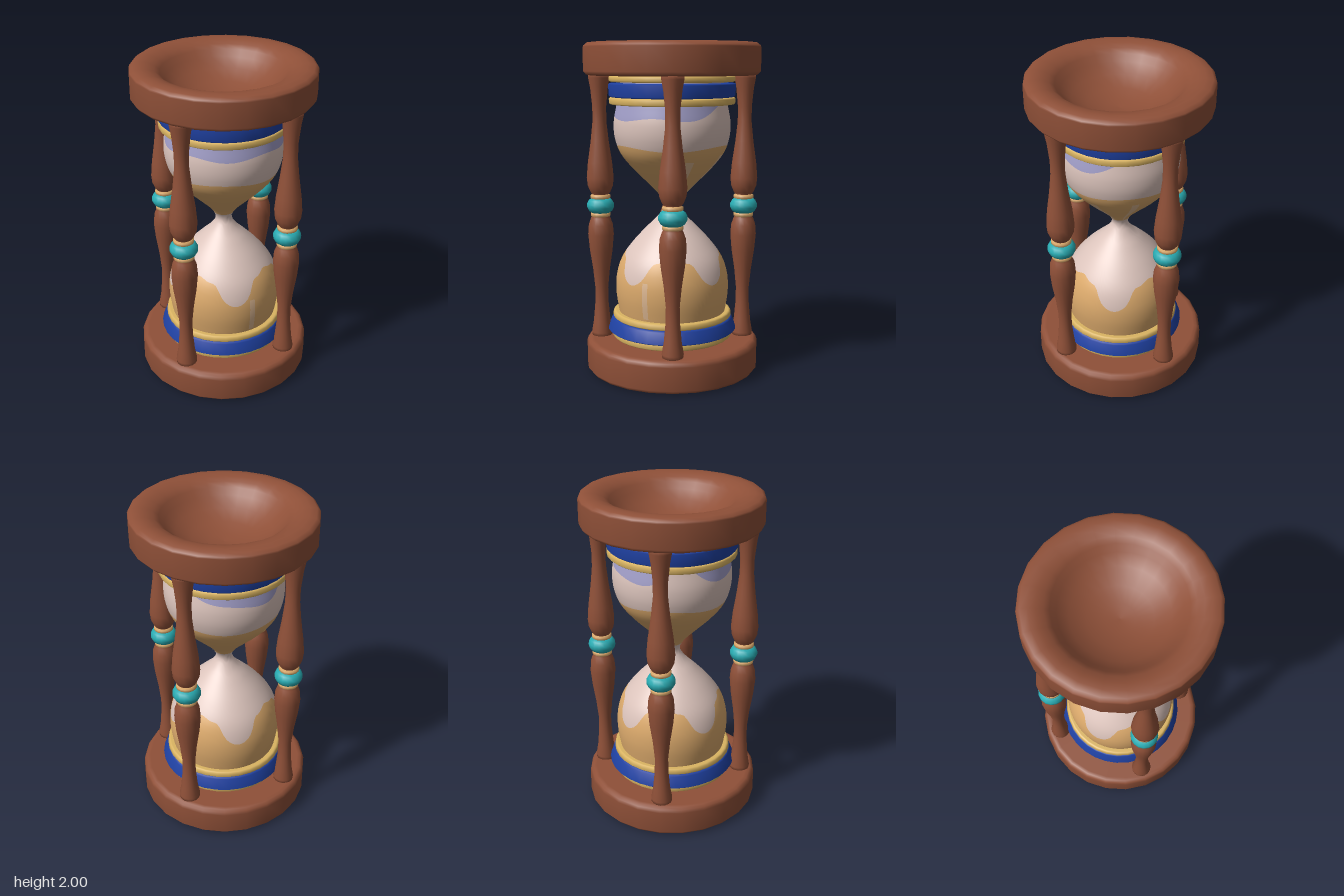
import * as THREE from 'three';
import { ParametricGeometry } from 'three/addons/geometries/ParametricGeometry.js';

const mat = (name, color) => new THREE.MeshStandardMaterial({ name, color });

export function createModel() {
  const model = new THREE.Group();
  model.name = 'hourglass';
  const wood = mat('wood', 0x8f5038);
  const gold = mat('gold', 0xdab462);
  const blue = mat('blue enamel', 0x1f41a2);
  const teal = mat('teal bead', 0x28abb2);
  const glass = mat('pale glass', 0xdcc4bc);
  const sand = mat('sand', 0xdcaa6c);
  const paleSand = mat('pale sand', 0xdeb892);
  const lilac = mat('lilac glass', 0xa19ec8);

  const add = (parent, name, geometry, material) => {
    const mesh = new THREE.Mesh(geometry, material);
    mesh.name = name;
    parent.add(mesh);
    return mesh;
  };
  const lathe = (points, sides) =>
    new THREE.LatheGeometry(points.map(([r, y]) => new THREE.Vector2(r, y)), sides);

  // Round wooden plates, the upper one with a rounded rim around a bowl
  const side = (y) => [
    [0, y], [0.49, y], [0.515, y + 0.005], [0.532, y + 0.025], [0.532, y + 0.165],
  ];
  add(model, 'basePlate', lathe([...side(0),
    [0.525, 0.185], [0.51, 0.197], [0.49, 0.2], [0, 0.2]], 24), wood);
  add(model, 'topPlate', lathe([...side(1.805),
    [0.528, 1.98], [0.51, 1.995], [0.47, 2], [0.43, 1.994], [0.39, 1.979],
    [0.36, 1.957], [0.33, 1.92], [0.27, 1.868], [0.18, 1.823], [0.08, 1.8], [0, 1.795]], 24), wood);

  // Collar rings around each end of the glass: [bottom, top, lower radius, upper radius]
  const collar = (name, rings) => {
    const group = new THREE.Group();
    group.name = name;
    model.add(group);
    rings.forEach(([y0, y1, r0, r1], i) => {
      const b = 0.008;
      add(group, i === 1 ? 'blueBand' : 'goldRing', lathe([
        [0.3, y0], [r0 - 2 * b, y0], [r0 - b, y0 + 0.001], [r0, y0 + b],
        [r1, y1 - b], [r1 - b, y1 - 0.001], [r1 - 2 * b, y1], [0.3, y1],
      ], 32), i === 1 ? blue : gold);
    });
  };
  collar('lowerCollar', [
    [0.205, 0.247, 0.37, 0.37], [0.247, 0.328, 0.398, 0.372], [0.328, 0.366, 0.367, 0.364]]);
  collar('upperCollar', [
    [1.767, 1.803, 0.38, 0.38], [1.677, 1.76, 0.38, 0.384], [1.634, 1.676, 0.38, 0.38]]);

  // Glass outline: height to radius
  const outline = [
    [0.19, 0.305], [0.3, 0.315], [0.37, 0.33], [0.5, 0.347], [0.6, 0.34], [0.7, 0.306],
    [0.8, 0.234], [0.9, 0.14], [0.96, 0.08], [1.02, 0.047], [1.08, 0.075], [1.16, 0.15],
    [1.25, 0.24], [1.34, 0.312], [1.43, 0.345], [1.52, 0.352], [1.62, 0.336], [1.7, 0.318],
    [1.81, 0.305],
  ];
  const radius = new THREE.CubicInterpolant(
    outline.map((p) => p[0]), outline.map((p) => p[1]), 1);

  // Band of the glass between two heights and two angles, optionally raised a little
  const band = (name, low, high, material, from = 0, to = Math.PI * 2, raise = 0) => {
    const at = (u, v, target) => {
      const a = THREE.MathUtils.lerp(from, to, u);
      const y = THREE.MathUtils.lerp(low(a), high(a), v);
      const r = radius.evaluate(y)[0] + raise;
      target.set(r * Math.sin(a), y, r * Math.cos(a));
    };
    const slices = Math.ceil((to - from) * 15);
    add(model, name, new ParametricGeometry(at, slices, 14), material);
  };
  const level = (y) => () => y;
  const bump = (d, width) => Math.exp(-((d / width) ** 2));
  const lowerSand = (a) =>
    0.655 + 0.075 * Math.tanh(2.5 * Math.cos(4 * a) + 0.8) + 0.01 * Math.cos(12 * a);
  const upperSand = (a) => 1.385 + 0.012 * Math.sin(3 * a);
  const tint = (a) => Math.min(1.636,
    1.555 + 0.1 * bump(a - 2.83, 0.55) + 0.09 * bump(a - 5.03, 0.35) + 0.01 * Math.cos(5 * a));
  band('lowerSand', level(0.19), lowerSand, sand);
  band('lowerGlassAndNeck', lowerSand, level(1.06), glass);
  band('upperSand', level(1.06), upperSand, sand);
  band('upperGlass', upperSand, tint, glass);
  band('upperGlassTint', tint, level(1.81), lilac);

  // Pale streaks running over the sand: [angle, half width, bottom, top]
  for (const [a, w, y0, y1] of [
    [1.92, 0.09, 1.06, 1.31], [2.76, 0.07, 1.06, 1.34], [1.08, 0.05, 0.38, 0.6]]) {
    band('paleStreak', level(y0), level(y1), paleSand, a - w, a + w, 0.003);
  }

  // Four turned posts with a teal bead between two sand-coloured rings
  const postProfile = [
    [0, 0.19], [0.062, 0.19], [0.064, 0.22], [0.052, 0.29], [0.042, 0.4], [0.04, 0.5],
    [0.052, 0.62], [0.07, 0.74], [0.079, 0.84], [0.074, 0.9], [0.06, 0.94], [0.045, 0.97],
    [0.045, 1.08], [0.06, 1.1], [0.077, 1.14], [0.082, 1.19], [0.074, 1.28], [0.055, 1.41],
    [0.042, 1.53], [0.042, 1.62], [0.053, 1.73], [0.064, 1.79], [0.064, 1.815], [0, 1.815],
  ];
  const postGeometry = lathe(postProfile, 16);
  const ringGeometry = lathe([
    [0, -0.016], [0.05, -0.016], [0.061, -0.008], [0.061, 0.008], [0.05, 0.016], [0, 0.016]], 16);
  const beadGeometry = lathe([
    [0, -0.045], [0.055, -0.045], [0.072, -0.032], [0.083, -0.01], [0.083, 0.01],
    [0.072, 0.032], [0.055, 0.045], [0, 0.045]], 16);
  for (let i = 0; i < 4; i++) {
    const post = new THREE.Group();
    post.name = 'post';
    const a = (i * Math.PI) / 2;
    post.position.set(0.438 * Math.sin(a), 0, 0.438 * Math.cos(a));
    post.rotation.y = a;
    add(post, 'turnedPost', postGeometry, wood);
    add(post, 'tealBead', beadGeometry, teal).position.y = 1.018;
    for (const y of [0.963, 1.073]) add(post, 'beadRing', ringGeometry, sand).position.y = y;
    model.add(post);
  }
  return model;
}
